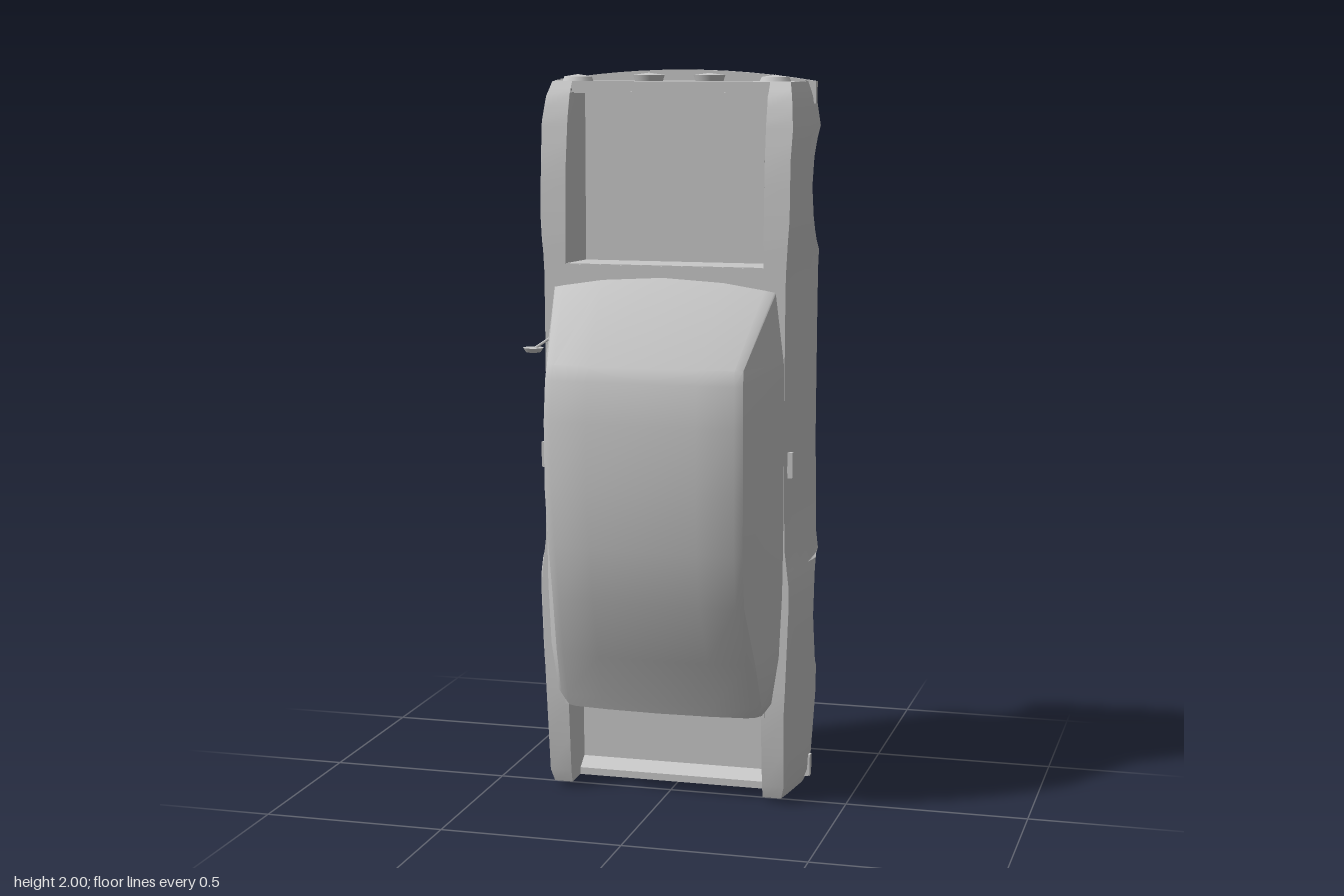
import * as THREE from 'three';
import { toCreasedNormals } from 'three/addons/utils/BufferGeometryUtils.js';

// Car body shell standing on its tail: length runs along y, roof faces +z.
const paint = new THREE.MeshStandardMaterial({ color: 0xc8c8c8, side: THREE.DoubleSide });
paint.name = 'grey';

// Piecewise linear lookup in [key, value] pairs with rising keys
function lookup(table, k) {
  if (k <= table[0][0]) return table[0][1];
  for (let i = 1; i < table.length; i++) {
    const [a, va] = table[i - 1], [b, vb] = table[i];
    if (k <= b) return va + (vb - va) * (k - a) / (b - a);
  }
  return table[table.length - 1][1];
}

// Surface through rows of points
function grid(rows) {
  const pos = [], idx = [], n = rows[0].length;
  rows.forEach(r => r.forEach(p => pos.push(...p)));
  for (let r = 0; r < rows.length - 1; r++) for (let c = 0; c < n - 1; c++) {
    const a = r * n + c, b = a + n;
    idx.push(a, b, a + 1, b, b + 1, a + 1);
  }
  const g = new THREE.BufferGeometry();
  g.setAttribute('position', new THREE.Float32BufferAttribute(pos, 3));
  g.setIndex(idx);
  return toCreasedNormals(g, 0.5);
}

const topLine = [[0.015, 0.045], [0.05, 0.055], [0.25, 0.075], [1.55, 0.076], [1.75, 0.07], [1.87, 0.052], [1.93, 0.035], [1.97, 0.008]];
const halfWidth = [[0.015, 0.35], [0.05, 0.362], [0.3, 0.375], [0.6, 0.386], [0.72, 0.372], [1, 0.368], [1.45, 0.37], [1.62, 0.379], [1.85, 0.374], [1.93, 0.362], [1.97, 0.348]];
const tumble = [[-0.27, 0.03], [-0.215, 0.006], [-0.13, 0], [0, 0.016], [0.05, 0.024], [0.08, 0.036]];
const floorLine = [[0.015, -0.18], [0.05, -0.19], [0.33, -0.225], [0.67, -0.265], [1.46, -0.265], [1.85, -0.205], [1.94, -0.2], [1.97, -0.16]];
const rearArch = [[0.33, -0.225], [0.36, -0.165], [0.42, -0.13], [0.5, -0.11], [0.57, -0.108], [0.62, -0.115], [0.65, -0.135], [0.66, -0.155], [0.67, -0.265]];
const frontArch = [[1.46, -0.265], [1.51, -0.225], [1.54, -0.14], [1.57, -0.115], [1.61, -0.095], [1.69, -0.085], [1.77, -0.105], [1.82, -0.14], [1.85, -0.205]];
const WELL = 0.22, BAY = 0.275;

const floorZ = y => lookup(floorLine, y);
const sideX = (y, z) => lookup(halfWidth, y) - lookup(tumble, z);
const column = (y, s, zTop, zLow, n = 8) => Array.from({ length: n + 1 }, (_, i) => {
  const z = zTop + (zLow - zTop) * i / n;
  return [s * sideX(y, z), y, z];
});

export function createModel() {
  const group = new THREE.Group();
  const add = (name, geo, x = 0, y = 0, z = 0) => {
    const m = new THREE.Mesh(geo, paint);
    m.name = name;
    m.position.set(x, y, z);
    group.add(m);
    return m;
  };
  const box = (name, w, h, d, x, y, z) => add(name, new THREE.BoxGeometry(w, h, d), x, y, z);

  // Side stations: [y, lowest z], following sills and wheel arches
  const plain = ys => ys.map(y => [y, floorZ(y)]);
  const stations = [...plain([0.015, 0.05, 0.15, 0.25]), ...rearArch, ...plain([0.72, 0.85, 1, 1.2, 1.35]),
    ...frontArch, ...plain([1.87, 1.9, 1.93, 1.95, 1.97])];

  for (const s of [1, -1]) {
    const order = rows => s > 0 ? rows.reverse() : rows;
    // Fender tops and sides
    add('bodySide', grid(order(stations.map(([y, low]) => {
      const top = lookup(topLine, y);
      return [[s * BAY, y, top], ...column(y, s, top, low)];
    }))));
    // Wheel wells: arch liner and inner wall
    for (const arch of [rearArch, frontArch]) {
      add('wheelWellLiner', grid(order(arch.map(([y, z]) => [[s * WELL, y, z], [s * sideX(y, z), y, z]]))));
      add('wheelWellWall', grid(order(arch.map(([y, z]) => [[s * WELL, y, z], [s * WELL, y, floorZ(y)]]))));
    }
    // Outer floor strips between the wheels
    for (const ys of [[0.015, 0.05, 0.2, 0.33], [0.67, 0.72, 1, 1.46], [1.85, 1.9, 1.94, 1.97]])
      add('outerFloor', grid(order(ys.map(y => {
        const z = floorZ(y);
        return [[s * sideX(y, z), y, z], [s * WELL, y, z]];
      }))));
    // Inner walls of engine bay and boot
    const wall = (ys, low, xLow) => grid(ys.map(y => [[s * BAY, y, lookup(topLine, y)], [s * xLow, y, low]]));
    add('engineBayWall', wall([1.48, 1.6, 1.75, 1.87, 1.94], -0.05, 0.255));
    add('bootWall', wall([0.015, 0.05, 0.15, 0.25], -0.07, BAY));
    // Fender tail end
    add('fenderEnd', grid([column(0.015, s, 0.045, -0.03, 2), [0.045, 0.0075, -0.03].map(z => [s * BAY, 0.015, z])]));
    // Lamps
    const head = add('headlight', new THREE.CylinderGeometry(0.038, 0.046, 0.018, 12), s * 0.276, 1.973, -0.05);
    const lens = new THREE.Mesh(new THREE.ConeGeometry(0.038, 0.006, 12), paint);
    lens.name = 'headlightLens';
    lens.position.y = 0.012;
    head.add(lens);
    add('drivingLight', new THREE.CylinderGeometry(0.043, 0.038, 0.016, 20), s * 0.085, 1.978, -0.086);
    add('drivingLightLens', new THREE.ConeGeometry(0.043, 0.006, 20), s * 0.085, 1.989, -0.086);
    box('indicator', 0.046, 0.014, 0.013, s * 0.322, 1.968, -0.115);
    // Door handle and rear mud flap
    box('doorHandle', 0.014, 0.07, 0.012, s * 0.347, 0.95, 0.052);
    box('mudFlap', 0.118, 0.003, 0.16, s * 0.281, 0.33, -0.24);
  }

  // Floor pan
  add('floorPan', grid(floorLine.map(([y, z]) => [[-WELL, y, z], [WELL, y, z]].reverse()).reverse()));

  // Nose panel, lower valance and tail panel
  add('nosePanel', grid([column(1.97, -1, 0.008, -0.16), column(1.97, 1, 0.008, -0.16)]));
  box('noseLip', 2 * BAY, 0.03, 0.012, 0, 1.955, 0.001);
  box('valanceCentre', 0.33, 0.05, 0.04, 0, 1.935, -0.182);
  add('tailPanel', grid([column(0.015, 1, -0.03, -0.18), column(0.015, -1, -0.03, -0.18)]));

  // Engine bay floor and end walls
  box('engineBayFloor', 2 * BAY - 0.03, 0.47, 0.004, 0, 1.71, -0.05);
  box('firewall', 2 * BAY, 0.004, 0.125, 0, 1.48, 0.013);
  box('engineBayFront', 2 * BAY, 0.004, 0.06, 0, 1.94, -0.022);

  // Boot floor, sloped sill and bulkhead
  box('bootFloor', 2 * BAY, 0.19, 0.004, 0, 0.155, -0.07);
  add('bootSill', grid([[0.06, -0.07], [0.035, -0.03], [0.015, -0.03]].map(([y, z]) => [[-BAY, y, z], [BAY, y, z]])));
  box('bootBulkhead', 2 * BAY, 0.004, 0.145, 0, 0.252, 0.002);

  // Deck under the cabin, with the cowl in front of the windscreen
  box('cowlDeck', 2 * BAY + 0.02, 1.23, 0.004, 0, 0.865, 0.0745);

  // Cabin: rows of [y, base x, edge x, edge z, centre z]
  const cabin = [
    [1.45, 0.31, 0.305, 0.078, 0.088], [1.23, 0.333, 0.268, 0.268, 0.287], [1.19, 0.334, 0.27, 0.28, 0.302],
    [1.08, 0.335, 0.272, 0.288, 0.312], [0.9, 0.335, 0.272, 0.285, 0.314], [0.74, 0.335, 0.268, 0.268, 0.294],
    [0.59, 0.333, 0.266, 0.24, 0.265], [0.42, 0.325, 0.28, 0.165, 0.193], [0.29, 0.305, 0.285, 0.11, 0.14],
    [0.255, 0.28, 0.265, 0.1, 0.127], [0.25, 0.265, 0.26, 0.075, 0.078]];
  add('cabin', grid(cabin.map(([y, xb, xe, ze, zc]) => {
    const half = [[xb, 0.073], [xe, ze], [xe * 0.92, ze + (zc - ze) * 0.4], [xe * 0.55, ze + (zc - ze) * 0.8]];
    // the windscreen foot sweeps back at its corners
    const bend = x => y > 1.4 ? y - 0.35 * x * x : y;
    return [...half.map(([x, z]) => [-x, bend(x), z]), [0, y, zc], ...half.reverse().map(([x, z]) => [x, bend(x), z])];
  })));

  // Bumpers, bowed towards the ends
  for (const s of [1, -1]) {
    const g = new THREE.BoxGeometry(0.73, 0.03, 0.022, 12);
    const p = g.attributes.position;
    for (let i = 0; i < p.count; i++) p.setY(i, p.getY(i) - s * 0.22 * p.getX(i) ** 2);
    g.computeVertexNormals();
    add(s > 0 ? 'frontBumper' : 'rearBumper', g, 0, s > 0 ? 1.985 : 0.015, -0.146);
    for (const e of [1, -1]) box('bumperEnd', 0.014, 0.06, 0.022, e * 0.362, s > 0 ? 1.94 : 0.06, -0.146);
  }

  // Exhaust pipe
  add('exhaustPipe', new THREE.CylinderGeometry(0.014, 0.014, 0.46, 10), 0.2, 0.28, -0.234);

  // Single door mirror on a thin arm
  add('doorMirror', new THREE.CylinderGeometry(0.028, 0.02, 0.012, 16), -0.355, 1.248, 0.119);
  const arm = new THREE.TubeGeometry(new THREE.LineCurve3(
    new THREE.Vector3(-0.355, 1.25, 0.119), new THREE.Vector3(-0.322, 1.275, 0.085)), 1, 0.004, 6);
  add('mirrorArm', arm);

  return group;
}
